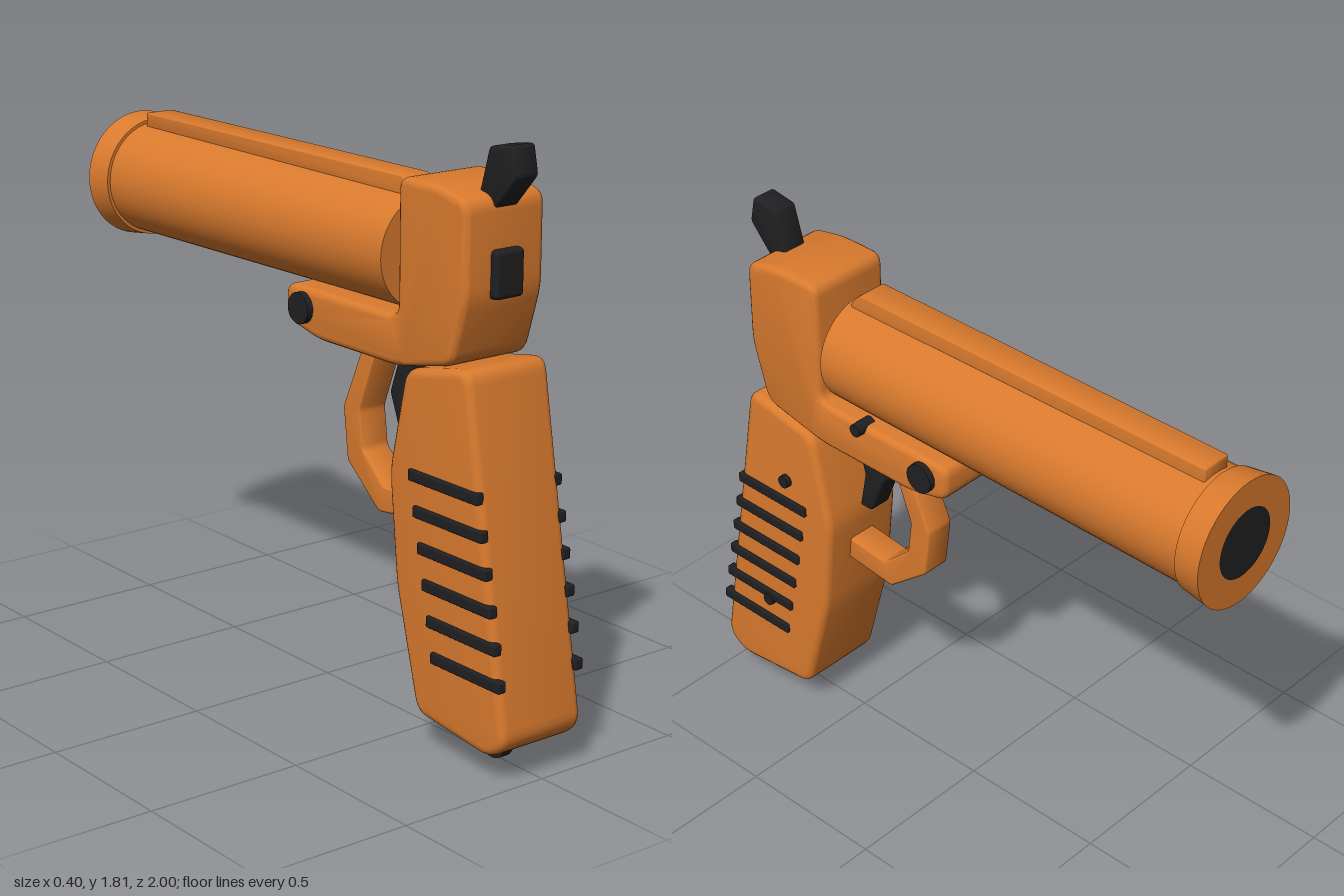
import * as THREE from 'three';
import { toCreasedNormals } from 'three/addons/utils/BufferGeometryUtils.js';
import { RoundedBoxGeometry } from 'three/addons/geometries/RoundedBoxGeometry.js';

const AXIS_Y = 1.44; // height of the barrel axis

// Closed outline in (z, y) with each corner softened by a curve.
function roundedShape(points, radius) {
  const pts = points.map(([z, y]) => new THREE.Vector2(z, y));
  const shape = new THREE.Shape();
  pts.forEach((p, i) => {
    const prev = pts[(i + pts.length - 1) % pts.length];
    const next = pts[(i + 1) % pts.length];
    const toward = (q) => p.clone().lerp(q, Math.min(0.45, radius / p.distanceTo(q)));
    const a = toward(prev), b = toward(next);
    if (i === 0) shape.moveTo(a.x, a.y);
    else shape.lineTo(a.x, a.y);
    shape.quadraticCurveTo(p.x, p.y, b.x, b.y);
  });
  shape.closePath();
  return shape;
}

// Side profile extruded across x, centred, with bevelled edges kept inside the outline.
function profile(points, width, radius, bevel) {
  const geometry = new THREE.ExtrudeGeometry(roundedShape(points, radius), {
    depth: width - 2 * bevel, curveSegments: 5,
    bevelEnabled: true, bevelThickness: bevel, bevelSize: bevel, bevelOffset: -bevel, bevelSegments: 4,
  });
  geometry.translate(0, 0, bevel - width / 2).rotateY(-Math.PI / 2);
  return toCreasedNormals(geometry, 0.6);
}

export function createModel() {
  const model = new THREE.Group();
  model.name = 'flarePistol';
  const orange = new THREE.MeshStandardMaterial({ color: 0xd97a2e });
  orange.name = 'orange';
  const black = new THREE.MeshStandardMaterial({ color: 0x202022 });
  black.name = 'black';

  function add(name, geometry, material, x = 0, y = 0, z = 0) {
    const mesh = new THREE.Mesh(geometry, material);
    mesh.name = name;
    mesh.position.set(x, y, z);
    model.add(mesh);
    return mesh;
  }
  // Pin running across the body from x0 to x1
  function pin(name, radius, x0, x1, y, z) {
    const geometry = new THREE.CylinderGeometry(radius, radius, x1 - x0, 24).rotateZ(Math.PI / 2);
    return add(name, geometry, black, (x0 + x1) / 2, y, z);
  }

  // Grip and frame
  add('grip', profile([
    [0.82, 1.185], [0.74, 1.175], [0.545, 1.135], [0.475, 0.82], [0.51, 0.48],
    [0.61, 0.11], [0.93, 0.075], [1.002, 0.13],
  ], 0.3, 0.045, 0.025), orange);
  add('frame', profile([
    [0.8, 1.655], [0.67, 1.682], [0.505, 1.682], [0.505, 1.28], [-0.02, 1.28],
    [-0.02, 1.165], [0.13, 1.13], [0.5, 1.13], [0.74, 1.18], [0.8, 1.38],
  ], 0.29, 0.04, 0.022), orange);

  // Barrel with flared muzzle, turned about its axis
  const barrelProfile = [[0, -0.465], [0.17, -0.465], [0.18, 0.91], [0.19, 0.91], [0.202, 1], [0, 1]]
    .map(([r, h]) => new THREE.Vector2(r, h));
  const barrel = toCreasedNormals(new THREE.LatheGeometry(barrelProfile, 48), 0.6);
  add('barrel', barrel.rotateX(-Math.PI / 2), orange, 0, AXIS_Y, 0);
  add('bore', new THREE.CircleGeometry(0.11, 40).rotateY(Math.PI), black, 0, AXIS_Y, -1.002);
  add('topRib', profile([
    [0.45, 1.59], [0.45, 1.615], [0.41, 1.656], [-0.89, 1.656], [-0.89, 1.59],
  ], 0.1, 0.008, 0.006), orange);

  // Trigger and its guard
  add('trigger', profile([
    [0.47, 1.15], [0.40, 1.15], [0.347, 1.005], [0.40, 0.87], [0.45, 0.87], [0.425, 1.0],
  ], 0.08, 0.012, 0.01), black);
  add('triggerGuard', profile([
    [0.31, 1.15], [0.245, 1.15], [0.14, 0.915], [0.16, 0.75], [0.31, 0.627], [0.52, 0.65],
    [0.52, 0.73], [0.335, 0.71], [0.235, 0.80], [0.22, 0.92],
  ], 0.1, 0.012, 0.008), orange);

  // Hammer and rear plate
  add('hammer', profile([
    [0.867, 1.808], [0.77, 1.793], [0.732, 1.66], [0.77, 1.62], [0.80, 1.625], [0.885, 1.72],
  ], 0.084, 0.012, 0.01), black);
  add('rearPlate', new RoundedBoxGeometry(0.105, 0.14, 0.05, 3, 0.014), black, 0, AXIS_Y, 0.8);

  // Hinge bolt, screws and lanyard lug
  pin('hingeBolt', 0.048, -0.165, 0.165, 1.218, 0.07);
  pin('frameScrew', 0.021, 0.1, 0.168, 1.27, 0.33);
  pin('upperGripScrew', 0.021, 0.1, 0.168, 0.92, 0.662);
  pin('lowerGripScrew', 0.021, 0.1, 0.168, 0.397, 0.765);
  pin('lanyardLug', 0.06, -0.016, 0.016, 0.06, 0.8);

  // Grip ridges follow the slope of the grip on both sides
  const ridge = new RoundedBoxGeometry(0.03, 0.035, 0.3, 2, 0.006);
  for (const side of [-1, 1]) {
    for (let i = 0; i < 6; i++) {
      add(side > 0 ? 'leftRidge' : 'rightRidge', ridge, black, side * 0.146, 0.833 - 0.105 * i, 0.73 + 0.0214 * i);
    }
  }
  return model;
}
